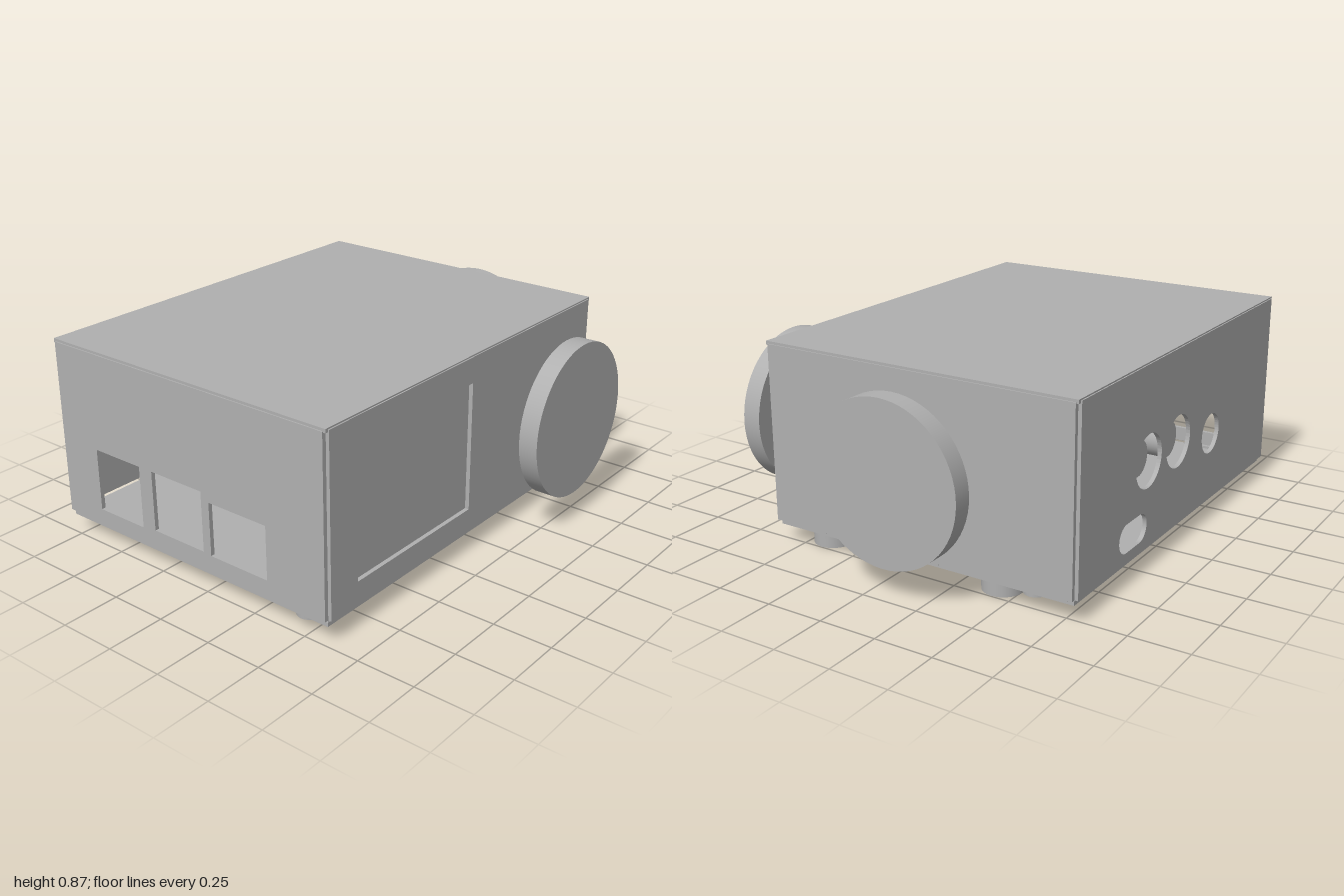
import * as THREE from 'three';

const grey = new THREE.MeshStandardMaterial({ color: 0xb0b0b0 });
grey.name = 'case grey';
const T = 0.018; // sheet thickness

function add(parent, name, geometry, x = 0, y = 0, z = 0) {
  const mesh = new THREE.Mesh(geometry, grey);
  mesh.name = name;
  mesh.position.set(x, y, z);
  parent.add(mesh);
  return mesh;
}

// Box given by its limits on each axis
function block(parent, name, x0, x1, y0, y1, z0, z1) {
  return add(parent, name, new THREE.BoxGeometry(x1 - x0, y1 - y0, z1 - z0),
    (x0 + x1) / 2, (y0 + y1) / 2, (z0 + z1) / 2);
}

function rect(a0, a1, b0, b1, Type = THREE.Path) {
  const p = new Type();
  p.moveTo(a0, b0);
  p.lineTo(a1, b0);
  p.lineTo(a1, b1);
  p.lineTo(a0, b1);
  p.closePath();
  return p;
}

function circle(x, y, r) {
  return new THREE.Path().absarc(x, y, r, 0, Math.PI * 2);
}

// Slot with round ends
function slot(x, y, halfLength, r) {
  const p = new THREE.Path();
  p.absarc(x + halfLength - r, y, r, -Math.PI / 2, Math.PI / 2);
  p.absarc(x - halfLength + r, y, r, Math.PI / 2, Math.PI * 1.5);
  p.closePath();
  return p;
}

// Sheet with cut-outs, drawn in its own plane
function sheet(a0, a1, b0, b1, holes = []) {
  const shape = rect(a0, a1, b0, b1, THREE.Shape);
  shape.holes.push(...holes);
  return new THREE.ExtrudeGeometry(shape, { depth: T, bevelEnabled: false, curveSegments: 24 });
}

// Disc knob on a stepped shaft, pointing along +z from the origin
function knob(name) {
  const g = new THREE.Group();
  g.name = name;
  const parts = [['shaft', 0.06, -0.05, 0.105], ['shaftNeck', 0.048, 0.1, 0.125], ['knobDisc', 0.337, 0.117, 0.2]];
  for (const [part, r, z0, z1] of parts) {
    const geo = new THREE.CylinderGeometry(r, r, z1 - z0, 64);
    geo.rotateX(Math.PI / 2);
    add(g, part, geo, 0, 0, (z0 + z1) / 2);
  }
  return g;
}

export function createModel() {
  const model = new THREE.Group();
  model.name = 'controlBox';

  // Case walls, leaving a small groove at each corner
  add(model, 'frontPanel', sheet(-0.982, 0.782, 0.1, 0.86, [rect(-0.83, -0.11, 0.195, 0.75)]), 0, 0, 0.615 - T);
  add(model, 'backPanel', sheet(-0.982, 0.782, 0.1, 0.86, [
    circle(0.235, 0.465, 0.112), circle(-0.03, 0.465, 0.112),
    circle(-0.355, 0.402, 0.088), slot(0.352, 0.203, 0.116, 0.06),
  ]), 0, 0, -0.815);
  const left = add(model, 'leftPanel', sheet(-0.8, 0.6, 0.1, 0.855), 0.8);
  const right = add(model, 'rightPanel', sheet(-0.8, 0.6, 0.1, 0.855, [
    rect(-0.6, -0.35, 0.165, 0.435), rect(-0.28, -0.01, 0.175, 0.435), rect(0.03, 0.32, 0.17, 0.4),
  ]), -1 + T);
  left.rotation.y = right.rotation.y = -Math.PI / 2;
  block(model, 'topPanel', -0.995, 0.795, 0.85, 0.866, -0.81, 0.61);

  // Floor plate with a label slot
  const floor = add(model, 'floorPlate', sheet(-0.985, 0.775, -0.795, 0.6, [rect(-0.21, 0.4, 0.14, 0.22)]), 0, 0.091);
  floor.rotation.x = Math.PI / 2;
  block(model, 'slotBacking', -0.25, 0.44, 0.1, 0.11, 0.1, 0.26);

  // Spacer tabs between the walls and the floor
  for (const [x0, x1] of [[-0.98, -0.85], [-0.09, 0.17], [0.56, 0.77]]) {
    for (const z of [-0.795, 0.58]) block(model, 'wallTab', x0, x1, 0.085, 0.102, z, z + 0.018);
  }
  for (const [z0, z1] of [[0.36, 0.58], [-0.2, 0.06], [-0.77, -0.43]]) {
    for (const x of [-0.98, 0.762]) block(model, 'wallTab', x, x + 0.018, 0.085, 0.102, z0, z1);
  }

  // Corner posts inside the case
  for (const x of [-0.975, 0.745]) {
    for (const z of [-0.79, 0.56]) block(model, 'cornerPost', x, x + 0.03, 0.1, 0.85, z, z + 0.03);
  }

  // Recessed screen
  block(model, 'screen', -0.87, -0.07, 0.155, 0.79, 0.55, 0.592);

  // Recessed round sockets behind the back panel
  for (const x of [0.235, -0.03]) {
    const geo = new THREE.CylinderGeometry(0.075, 0.075, 0.2, 32);
    geo.rotateX(Math.PI / 2);
    add(model, 'socket', geo, x, 0.465, -0.67);
  }
  block(model, 'socketBoard', -0.17, 0.37, 0.33, 0.6, -0.6, -0.57);

  // Front and side knobs
  const frontKnob = knob('frontKnob');
  frontKnob.position.set(0.4, 0.47, 0.615);
  const sideKnob = knob('sideKnob');
  sideKnob.position.set(0.8, 0.47, -0.1);
  sideKnob.rotation.y = Math.PI / 2;
  model.add(frontKnob, sideKnob);

  // Feet
  for (const x of [-0.76, 0.66]) {
    for (const z of [0.415, -0.42]) add(model, 'foot', new THREE.CylinderGeometry(0.086, 0.086, 0.075, 40), x, 0.0375, z);
  }

  // Screw heads under the floor
  const screws = [[-0.53, 0.28, 0.04], [0.475, 0.28, 0.04], [-0.53, -0.568, 0.04], [0.475, -0.568, 0.04],
    [-0.93, 0.465, 0.05], [0.715, -0.6, 0.05]];
  for (const [x, z, r] of screws) add(model, 'screwHead', new THREE.CylinderGeometry(r, r, 0.025, 24), x, 0.066, z);

  return model;
}
